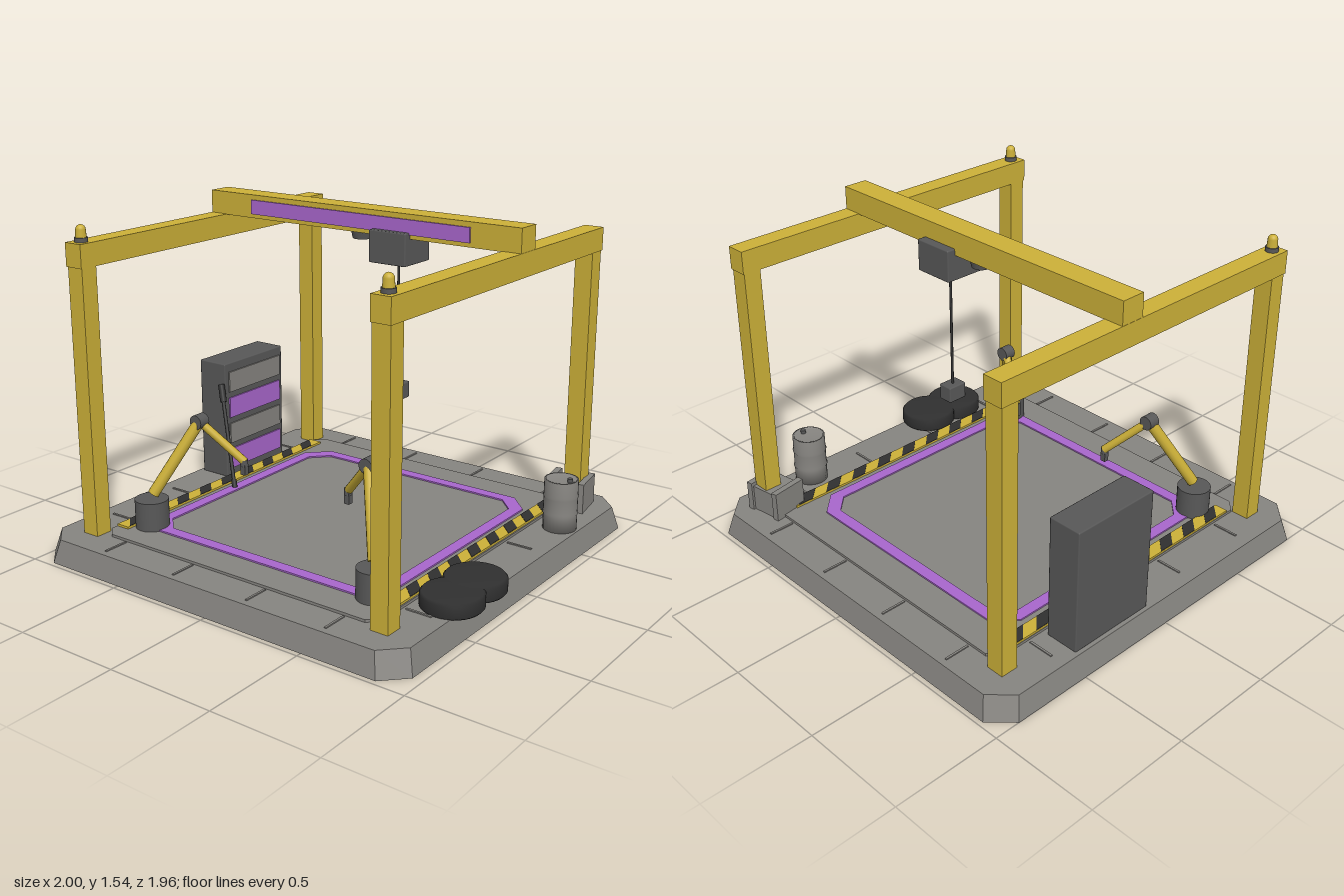
import * as THREE from 'three';
import { RoundedBoxGeometry } from 'three/addons/geometries/RoundedBoxGeometry.js';

const material = (name, color) => {
  const m = new THREE.MeshStandardMaterial({ color });
  m.name = name;
  return m;
};

export function createModel() {
  const yellow = material('safety yellow', 0xccb038);
  const purple = material('purple', 0xa866cc);
  const grey = material('concrete grey', 0x868480);
  const dark = material('dark steel', 0x585858);
  const black = material('rubber black', 0x303030);

  const model = new THREE.Group();
  const CX = -0.023; // the bay's own centre line

  const add = (name, geometry, mat, x = 0, y = 0, z = 0, parent = model) => {
    const mesh = new THREE.Mesh(geometry, mat);
    mesh.name = name;
    mesh.position.set(x, y, z);
    parent.add(mesh);
    return mesh;
  };
  const box = (name, w, h, d, mat, x, y, z, parent) =>
    add(name, new THREE.BoxGeometry(w, h, d), mat, x, y, z, parent);
  const bevelBox = (name, w, h, d, mat, x, y, z, parent) =>
    add(name, new RoundedBoxGeometry(w, h, d, 1, 0.006), mat, x, y, z, parent);
  const cyl = (name, r, h, mat, x, y, z, parent, rTop = r) =>
    add(name, new THREE.CylinderGeometry(rTop, r, h, 28), mat, x, y, z, parent);

  // Straight round bar between two points
  const rod = (name, a, b, r, mat, parent = model, sides = 16) => {
    const from = new THREE.Vector3(...a), to = new THREE.Vector3(...b);
    const dir = to.clone().sub(from);
    const mesh = add(name, new THREE.CylinderGeometry(r, r, dir.length(), sides), mat, 0, 0, 0, parent);
    mesh.position.copy(from).add(to).multiplyScalar(0.5);
    mesh.quaternion.setFromUnitVectors(new THREE.Vector3(0, 1, 0), dir.normalize());
    return mesh;
  };

  // Rectangle with cut corners, lying in plan
  const octagon = (w, d, c) => [
    [-w + c, -d], [w - c, -d], [w, -d + c], [w, d - c],
    [w - c, d], [-w + c, d], [-w, d - c], [-w, -d + c],
  ].map(([x, y]) => new THREE.Vector2(x, y));
  const plate = (shape, top, thickness) =>
    new THREE.ExtrudeGeometry(shape, { depth: thickness, bevelEnabled: false })
      .rotateX(Math.PI / 2).translate(0, top, 0);

  // Tapered base slab
  const slab = plate(new THREE.Shape(octagon(0.978, 0.978, 0.1)), 0.108, 0.108);
  const p = slab.attributes.position;
  for (let i = 0; i < p.count; i++) {
    if (p.getY(i) > 0.05) p.setXYZ(i, p.getX(i) * 0.972, p.getY(i), p.getZ(i) * 0.972);
  }
  slab.computeVertexNormals();
  add('base', slab, grey, CX);
  add('deck', plate(new THREE.Shape(octagon(0.745, 0.79, 0.05)), 0.12, 0.015), grey, CX);

  // Low seams dividing the walkway around the deck
  for (const s of [-1, 1]) {
    for (const t of [-0.6, -0.2, 0.2, 0.6]) {
      box('walkwaySeam', 0.01, 0.006, 0.12, grey, CX + t, 0.11, s * 0.86);
      box('walkwaySeam', 0.12, 0.006, 0.01, grey, CX + s * 0.82, 0.11, t);
    }
  }

  // Painted work area outline
  const outline = new THREE.Shape(octagon(0.645, 0.642, 0.1));
  outline.holes.push(new THREE.Path(octagon(0.59, 0.587, 0.08)));
  add('workAreaOutline', plate(outline, 0.127, 0.008), purple, CX);

  // Hazard strips with slanted stripes
  const stripe = new THREE.Shape([
    [-0.032, -0.071], [0.032, -0.007], [0.032, 0.071], [-0.032, 0.007],
  ].map(([x, y]) => new THREE.Vector2(x, y)));
  for (const x of [-0.733, 0.683]) {
    box('hazardStrip', 0.066, 0.02, 1.425, yellow, x, 0.12, -0.005);
    for (let i = 0; i < 9; i++) {
      add('hazardStripe', plate(stripe, 0.132, 0.004), black, x, 0, -0.005 + (i - 4) * 0.157);
    }
  }

  // Gantry frames, each with a beacon at the front
  for (const x of [-0.812, 0.766]) {
    const frame = new THREE.Group();
    frame.name = 'gantryFrame';
    frame.position.x = x;
    model.add(frame);
    for (const z of [-0.788, 0.788]) box('column', 0.084, 1.225, 0.082, yellow, 0, 0.7175, z, frame);
    box('sideBeam', 0.092, 0.105, 1.67, yellow, 0, 1.38, 0, frame);
    cyl('beaconBase', 0.029, 0.02, dark, 0, 1.442, 0.785, frame);
    cyl('beaconLamp', 0.024, 0.035, yellow, 0, 1.468, 0.785, frame, 0.022);
    add('beaconDome', new THREE.SphereGeometry(0.022, 20, 8, 0, Math.PI * 2, 0, Math.PI / 2),
      yellow, 0, 1.485, 0.785, frame);
  }

  // Cross girder with painted panel, lamp, trolley and hoist
  box('girder', 1.668, 0.108, 0.115, yellow, CX, 1.484, -0.149);
  box('girderPanel', 1.18, 0.066, 0.009, purple, -0.02, 1.482, -0.088);
  cyl('girderLamp', 0.042, 0.036, dark, -0.022, 1.413, -0.149, model, 0.05);
  bevelBox('trolley', 0.192, 0.145, 0.192, dark, 0.175, 1.386, -0.15);
  rod('hoistCable', [0.175, 0.75, -0.149], [0.175, 1.33, -0.149], 0.006, black);
  bevelBox('hoistBlock', 0.07, 0.075, 0.094, dark, 0.175, 0.725, -0.149);

  // Tool cabinet, drawers facing the bay
  bevelBox('cabinet', 0.16, 0.585, 0.436, dark, -0.875, 0.398, -0.297);
  [0.198, 0.33, 0.463, 0.595].forEach((y, i) =>
    box('drawer', 0.009, 0.102, 0.385, i % 2 ? grey : purple, -0.792, y, -0.297));

  // Pry bar leaning on the cabinet
  rod('pryBar', [-0.645, 0.125, 0.04], [-0.8, 0.56, -0.06], 0.009, black);
  rod('pryBarHead', [-0.783, 0.51, -0.05], [-0.81, 0.59, -0.067], 0.016, black);
  rod('pryBarFoot', [-0.643, 0.12, 0.041], [-0.657, 0.16, 0.032], 0.013, black);

  // Robot arms, mirrored about the centre line
  for (const s of [-1, 1]) {
    const arm = new THREE.Group();
    arm.name = s < 0 ? 'rightRobotArm' : 'leftRobotArm';
    arm.position.x = CX - 0.002;
    model.add(arm);
    const elbow = [s * 0.465, 0.603, 0.44], wrist = [s * 0.289, 0.42, 0.342];
    cyl('armPedestal', 0.077, 0.14, dark, s * 0.615, 0.183, 0.61, arm);
    rod('lowerArm', [s * 0.608, 0.275, 0.605], elbow, 0.026, yellow, arm, 12);
    rod('forearm', elbow, wrist, 0.019, yellow, arm, 12);
    cyl('elbow', 0.033, 0.056, dark, ...elbow, arm).rotation.x = Math.PI / 2;
    cyl('wrist', 0.017, 0.03, dark, s * 0.289, 0.415, 0.345, arm);
    box('gripper', 0.026, 0.05, 0.024, dark, s * 0.289, 0.385, 0.345, arm);
  }

  // Ribbed drum
  const drum = [[0, 0.105], [0.077, 0.105], [0.077, 0.18], [0.081, 0.187], [0.077, 0.194],
    [0.077, 0.262], [0.081, 0.269], [0.077, 0.276], [0.077, 0.345], [0.068, 0.345],
    [0.068, 0.338], [0, 0.338]];
  const drumGeometry = new THREE.LatheGeometry(drum.map(([x, y]) => new THREE.Vector2(x, y)), 28);
  add('drum', drumGeometry, grey, 0.84, 0, -0.492);
  cyl('drumCap', 0.012, 0.016, dark, 0.882, 0.346, -0.492);

  // Crate with thicker end frames
  const crate = new THREE.Group();
  crate.name = 'crate';
  crate.position.set(0.745, 0, -0.765);
  crate.rotation.y = 0.16;
  model.add(crate);
  box('crateBody', 0.18, 0.125, 0.15, grey, 0, 0.17, 0, crate);
  for (const s of [-1, 1]) box('crateEnd', 0.03, 0.145, 0.172, grey, s * 0.08, 0.178, 0, crate);

  // Pair of tyres lying on the edge
  const tyre = [[0, 0.106], [0.125, 0.106], [0.134, 0.116], [0.134, 0.166], [0.125, 0.176], [0, 0.176]]
    .map(([x, y]) => new THREE.Vector2(x, y));
  [0.287, 0.463].forEach((z, i) =>
    add('tyre', new THREE.LatheGeometry(tyre, 32), black, 0.866, -0.002 * i, z));

  return model;
}
